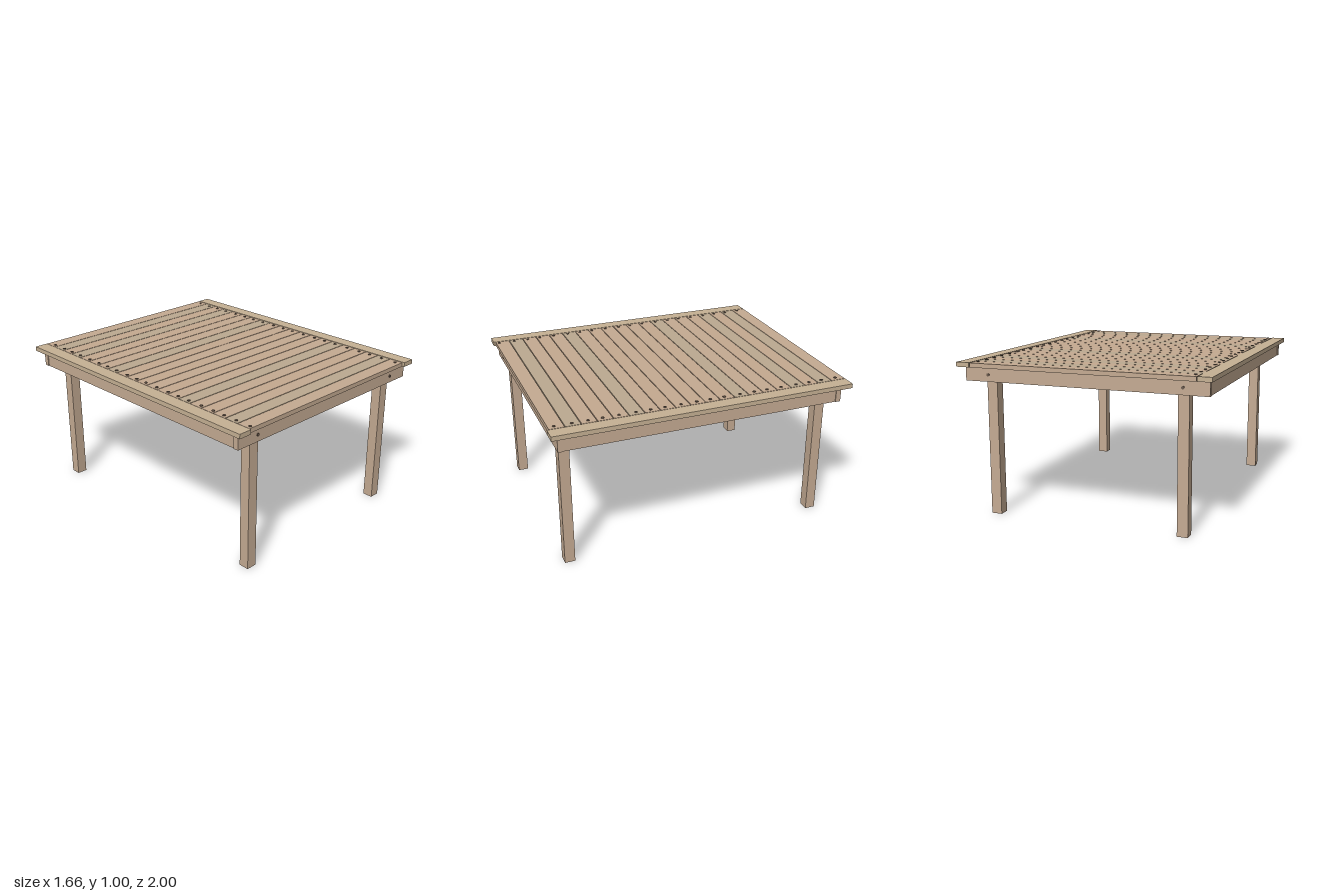
import * as THREE from 'three';

const mat = (color) => new THREE.MeshStandardMaterial({ color });
const wood = mat(0xc5ab93);
const railWood = mat(0xc6b194);
const slatWoods = [mat(0xc5ab92), mat(0xbcaa91), mat(0xc4a990)];
const steel = mat(0x6b5a4d);

// Box given by its lower and upper limits on each axis
function board(name, [x0, x1], [y0, y1], [z0, z1], material = wood) {
  const mesh = new THREE.Mesh(new THREE.BoxGeometry(x1 - x0, y1 - y0, z1 - z0), material);
  mesh.name = name;
  mesh.position.set((x0 + x1) / 2, (y0 + y1) / 2, (z0 + z1) / 2);
  return mesh;
}

const headGeometry = new THREE.CylinderGeometry(0.01, 0.01, 0.008, 12);
function head(name, x, y, z, upright = true) {
  const mesh = new THREE.Mesh(headGeometry, steel);
  mesh.name = name;
  mesh.position.set(x, y, z);
  if (!upright) mesh.rotation.x = Math.PI / 2;
  return mesh;
}

export function createModel() {
  const table = new THREE.Group();
  table.name = 'slattedTable';
  const underTop = 0.97, apronBottom = 0.875;

  // Legs stand inside the end aprons
  for (const x of [-0.67, 0.6]) {
    for (const z of [-0.902, 0.85]) {
      table.add(board('leg', [x, x + 0.07], [0, underTop], [z, z + 0.068]));
    }
  }

  // End aprons with a bolt through to each leg
  const apronY = [apronBottom, underTop];
  table.add(board('frontApron', [-0.803, 0.803], apronY, [0.918, 0.953]));
  table.add(board('backApron', [-0.803, 0.803], apronY, [-0.937, -0.902]));
  for (const x of [-0.64, 0.643]) {
    table.add(head('frontBolt', x, 0.92, 0.954, false));
    table.add(head('backBolt', x, 0.92, -0.938, false));
  }

  // Side aprons, slat supports and the long top rails
  for (const s of [-1, 1]) {
    const span = (a, b) => (s > 0 ? [a, b] : [-b, -a]);
    table.add(board('sideApron', span(0.765, 0.798), apronY, [-0.902, 0.918]));
    table.add(board('slatSupport', span(0.675, 0.765), [0.94, underTop], [-0.902, 0.918]));
    table.add(board('topRail', span(0.742, 0.832), [underTop, 1], [-1, 0.995], railWood));
  }

  // Slats, each fixed by one screw at either end
  const count = 20, pitch = 0.0993, width = 0.0945;
  const tones = [0, 1, 2, 1, 2, 0, 0, 1, 2, 0, 2, 0, 2, 0, 1, 0, 2, 0, 1, 0];
  for (let i = 0; i < count; i++) {
    const z = -1 + i * pitch;
    table.add(board('slat', [-0.738, 0.736], [underTop, 0.999], [z, z + width], slatWoods[tones[i]]));
    const drift = 0.006 * Math.sin(i * 1.7);
    table.add(head('slatScrew', -0.713, 0.999, z + 0.069 + drift));
    table.add(head('slatScrew', 0.705, 0.999, z + 0.052 + drift));
  }
  return table;
}
